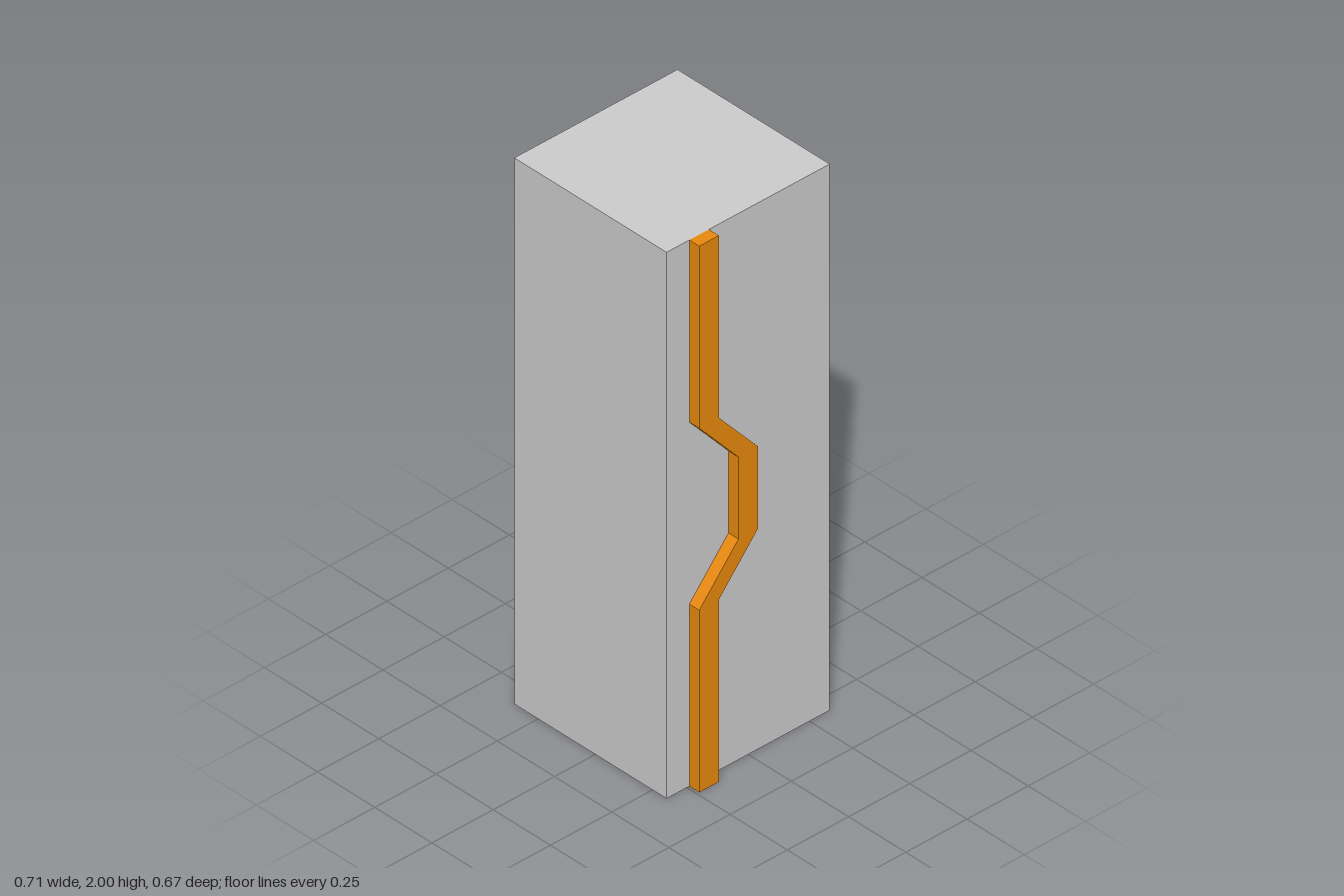
import * as THREE from 'three';

const BODY = { left: -0.3545, right: 0.311, height: 2, depth: 0.666 };
const STRIP = { thickness: 0.0435, width: 0.08 };

export function createModel() {
  const model = new THREE.Group();
  model.name = 'columnWithStrip';

  // Plain square column
  const width = BODY.right - BODY.left;
  const column = new THREE.Mesh(
    new THREE.BoxGeometry(width, BODY.height, BODY.depth),
    new THREE.MeshStandardMaterial({ color: 0xcccccc })
  );
  column.name = 'column';
  column.position.set((BODY.left + BODY.right) / 2, BODY.height / 2, 0);
  model.add(column);

  // Back edge of the strip as (z, y); the front edge is the same line shifted forward
  const backEdge = [[0.16, 0], [0.16, 0.667], [0, 0.85], [0, 1.15], [0.16, 1.333], [0.16, 2]]
    .map(([z, y]) => new THREE.Vector2(z, y));
  const frontEdge = backEdge.map((p) => new THREE.Vector2(p.x + STRIP.width, p.y)).reverse();

  // Raised strip with a jog in the middle, on the +x face
  const stripGeometry = new THREE.ExtrudeGeometry(
    new THREE.Shape([...backEdge, ...frontEdge]),
    { depth: STRIP.thickness, bevelEnabled: false }
  );
  stripGeometry.rotateY(-Math.PI / 2);
  stripGeometry.translate(BODY.right + STRIP.thickness, 0, 0);
  const strip = new THREE.Mesh(
    stripGeometry,
    new THREE.MeshStandardMaterial({ color: 0xe8890c })
  );
  strip.name = 'joggedStrip';
  model.add(strip);

  return model;
}
